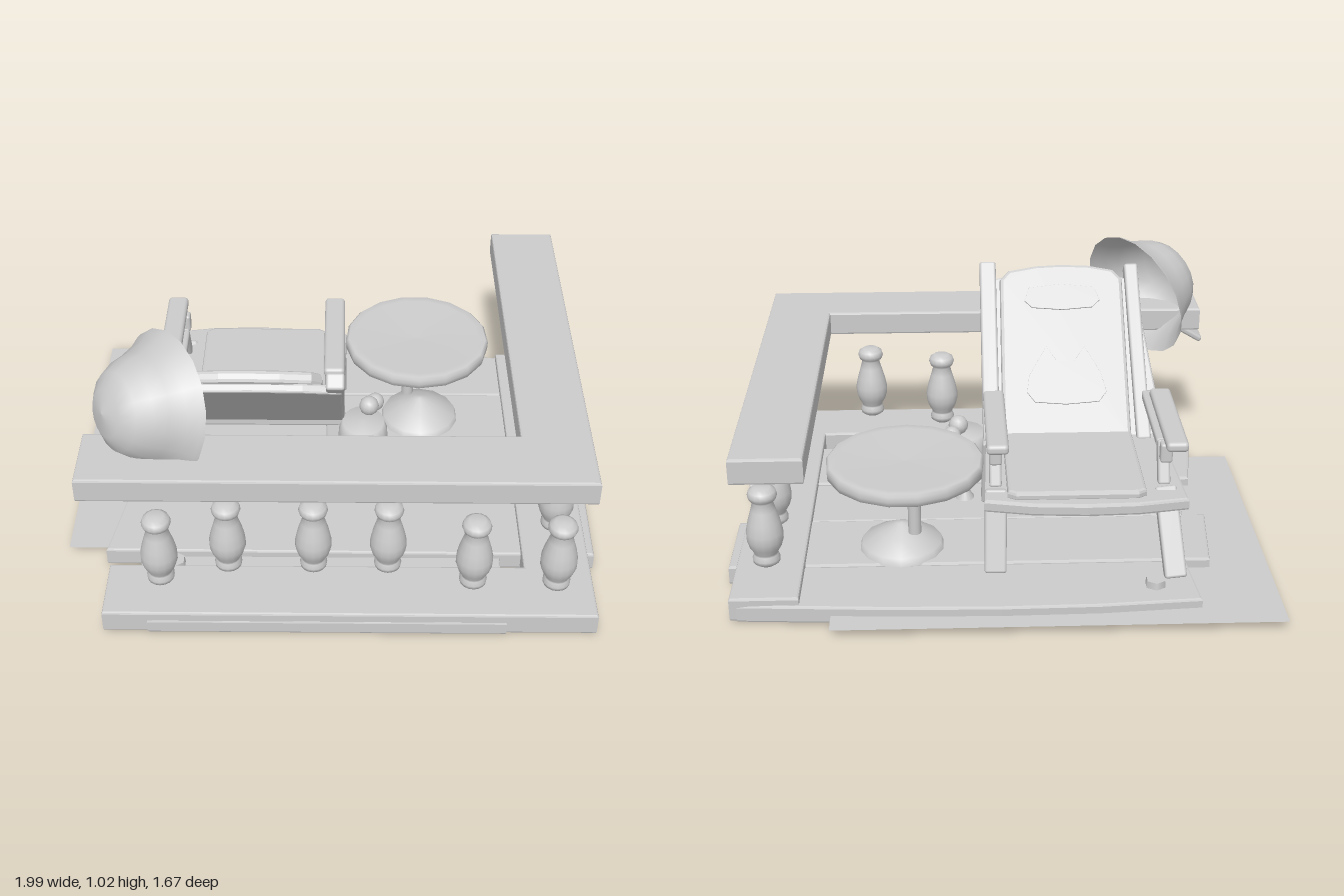
import * as THREE from 'three';
import { RoundedBoxGeometry } from 'three/addons/geometries/RoundedBoxGeometry.js';

export function createModel() {
  const model = new THREE.Group();
  const clay = new THREE.MeshStandardMaterial({ color: 0xcccccc, side: THREE.DoubleSide });
  clay.name = 'light grey';

  const add = (name, geo, parent = model) => {
    const m = new THREE.Mesh(geo, clay);
    m.name = name;
    parent.add(m);
    return m;
  };
  const V = (x, y, z) => new THREE.Vector3(x, y, z);
  const shapeOf = pts => new THREE.Shape(pts.map(p => new THREE.Vector2(p[0], p[1])));

  // Horizontal slab from an outline in x and z, with a small bevel
  const slab = (name, pts, y0, y1, b = 0.008, parent = model) => {
    const g = new THREE.ExtrudeGeometry(shapeOf(pts), {
      depth: y1 - y0 - 2 * b, bevelThickness: b, bevelSize: b, bevelOffset: -b, bevelSegments: 2,
    });
    g.rotateX(Math.PI / 2).translate(0, y1 - b, 0);
    return add(name, g, parent);
  };
  // Deck plank: a slab without its underside
  const plank = (pts, y0, y1) => {
    const g = slab('plank', pts, y0, y1).geometry;
    const p = g.attributes.position;
    const keep = [];
    for (let i = 0; i < p.count; i += 3) {
      if (p.getY(i) + p.getY(i + 1) + p.getY(i + 2) > 3 * y0 + 0.001) keep.push(i, i + 1, i + 2);
    }
    g.clearGroups();
    g.setIndex(keep);
  };
  // Rounded bar between two points
  const bar = (name, a, b, w, d, parent = model) => {
    const dir = b.clone().sub(a);
    const m = add(name, new RoundedBoxGeometry(w, dir.length(), d, 2, 0.01), parent);
    m.position.copy(a).add(b).multiplyScalar(0.5);
    m.quaternion.setFromUnitVectors(V(0, 1, 0), dir.normalize());
    return m;
  };
  const lathe = (name, pts, sides, parent = model) =>
    add(name, new THREE.LatheGeometry(pts.map(p => new THREE.Vector2(p[0], p[1])), sides), parent);
  const corner = (x0, x1, z0, z1, w) => [
    [x0, z1 - w], [x1 - w, z1 - w], [x1 - w, z0], [x1, z0], [x1, z1], [x0, z1],
  ];

  // Ground sheet and deck planks
  const sheet = add('groundSheet', new THREE.PlaneGeometry(1.6, 1.27).rotateX(-Math.PI / 2));
  sheet.position.set(-0.2, 0.037, -0.205);
  plank([[-0.71, -0.74], [-0.35, -0.765], [0, -0.77], [0.4, -0.76], [0.93, -0.73],
    [0.93, -0.475], [-0.69, -0.475]], 0.005, 0.072);
  plank([[-0.78, -0.47], [0.99, -0.47], [0.99, -0.14], [-0.815, -0.135]], 0, 0.075);
  plank([[-0.73, -0.13], [0.95, -0.135], [0.95, 0.165], [-0.75, 0.165]], 0.005, 0.07);
  plank([[-0.8, 0.17], [0.99, 0.17], [0.985, 0.49], [-0.85, 0.48]], 0, 0.075);
  plank([[-0.72, 0.495], [0.63, 0.495], [0.63, 0.828], [-0.66, 0.828]], 0.005, 0.065);
  for (const [x, z] of [[-0.555, -0.64], [-0.58, 0.55]]) {
    add('bolt', new THREE.CylinderGeometry(0.036, 0.04, 0.03, 6)).position.set(x, 0.083, z);
  }

  // Corner balustrade
  slab('railingBase', corner(-0.82, 0.955, -0.73, 0.825, 0.245), 0.01, 0.1);
  slab('handRail', corner(-0.87, 0.908, -0.8, 0.768, 0.25), 0.585, 0.68);
  const turned = [[0, 0.137], [0.03, 0.14], [0.048, 0.153], [0.05, 0.167], [0.044, 0.184], [0.042, 0.19],
    [0.057, 0.215], [0.066, 0.245], [0.066, 0.275], [0.058, 0.315], [0.045, 0.36], [0.036, 0.393],
    [0.048, 0.405], [0.053, 0.42], [0.048, 0.437], [0.03, 0.449], [0, 0.45]];
  const posts = [[-0.615, 0.69], [-0.375, 0.62], [-0.065, 0.62], [0.205, 0.62], [0.51, 0.7],
    [0.81, 0.705], [0.835, 0.4], [0.835, 0.06], [0.835, -0.255], [0.835, -0.555]];
  for (const [x, z] of posts) lathe('baluster', turned, 16).position.set(x, 0, z);

  // Side table with a slightly dished top
  const table = new THREE.Group();
  table.name = 'sideTable';
  table.position.set(0.338, 0, -0.37);
  model.add(table);
  lathe('tableTop', [[0, 0.405], [0.272, 0.405], [0.286, 0.413], [0.288, 0.43], [0.288, 0.45],
    [0.278, 0.46], [0.25, 0.459], [0, 0.448]], 17, table);
  add('tableStem', new THREE.CylinderGeometry(0.024, 0.024, 0.25, 12), table).position.set(-0.03, 0.285, -0.015);
  lathe('tableFoot', [[0.16, 0.07], [0.15, 0.1], [0.08, 0.14], [0.02, 0.172], [0, 0.175]], 14, table)
    .position.set(0.02, 0, 0.04);

  // Footed cup with a small bloom on top
  const cup = lathe('cup', [[0, 0.015], [0.05, 0.02], [0.045, 0.06], [0.018, 0.1], [0.015, 0.125],
    [0.05, 0.137], [0.078, 0.17], [0.094, 0.22], [0.098, 0.27], [0.094, 0.32], [0.08, 0.36],
    [0, 0.362]], 18);
  cup.position.set(0.118, 0, 0.053);
  cup.scale.z = 1.13;
  for (const [x, y, z, r] of [[0.14, 0.405, 0.015, 0.038], [0.165, 0.385, -0.035, 0.035]]) {
    add('bloom', new THREE.SphereGeometry(r, 12, 8)).position.set(x, y, z);
  }

  // Deck chair: seat, legs and arms
  const chair = new THREE.Group();
  chair.name = 'deckChair';
  model.add(chair);
  slab('seatFrame', [[-0.68, -0.53], [-0.5, -0.56], [-0.31, -0.567], [-0.12, -0.555], [0.055, -0.52],
    [0.035, 0.03], [-0.65, 0.03]], 0.312, 0.36, 0.01, chair);
  slab('seatPad', [[-0.53, -0.5], [-0.5, -0.52], [-0.06, -0.52], [-0.03, -0.5], [-0.03, 0.03],
    [-0.53, 0.03]], 0.35, 0.388, 0.012, chair);
  for (const [side, x, foot, zf] of [['right', -0.605, -0.635, -0.59], ['left', 0.01, 0.015, -0.53]]) {
    bar(side + 'FrontLeg', V(foot, 0.07, zf), V(x, 0.36, -0.43), 0.08, 0.055, chair);
    bar(side + 'RearLeg', V(foot + (x < 0 ? -0.02 : 0), 0.07, 0.03), V(x, 0.36, -0.03), 0.075, 0.06, chair);
    bar(side + 'ArmPost', V(x, 0.35, -0.4), V(x, 0.5, -0.33), 0.045, 0.045, chair);
    bar(side + 'ArmSupport', V(x, 0.488, -0.34), V(x, 0.488, 0.1), 0.05, 0.035, chair);
    bar(side + 'ArmBlock', V(x, 0.455, -0.415), V(x, 0.53, -0.415), 0.045, 0.045, chair);
    const arm = add(side + 'Armrest', new RoundedBoxGeometry(0.08, 0.038, 0.49, 3, 0.015), chair);
    arm.position.set(x < 0 ? -0.635 : 0.005, 0.543, -0.25);
  }

  // Reclined back, drawn upright and then tilted
  const back = new THREE.Group();
  back.name = 'chairBack';
  back.position.set(0, 0.34, -0.02);
  back.rotation.x = 0.745;
  chair.add(back);
  const panel = (name, pts, z0, z1, b) => {
    const g = new THREE.ExtrudeGeometry(shapeOf(pts), {
      depth: z1 - z0 - 2 * b, bevelThickness: b, bevelSize: b, bevelOffset: -b, bevelSegments: 2,
    });
    return add(name, g.translate(0, 0, z0 + b), back);
  };
  bar('rightBackPost', V(-0.58, 0, 0), V(-0.565, 0.74, 0), 0.055, 0.06, back);
  bar('leftBackPost', V(0.012, 0, 0), V(0.012, 0.755, 0), 0.065, 0.06, back);
  panel('backBoard', [[-0.67, -0.02], [0.04, -0.02], [0.035, 0.68], [-0.1, 0.71], [-0.28, 0.72],
    [-0.45, 0.71], [-0.58, 0.68]], 0, 0.035, 0.008);
  panel('backPad', [[-0.53, 0], [-0.03, 0], [-0.035, 0.67], [-0.07, 0.71], [-0.18, 0.73], [-0.28, 0.735],
    [-0.39, 0.73], [-0.49, 0.71], [-0.525, 0.67]], -0.042, 0.005, 0.014);
  // Raised patches on the pad
  panel('headPatch', [[-0.43, 0.575], [-0.4, 0.545], [-0.28, 0.535], [-0.16, 0.545], [-0.13, 0.575],
    [-0.15, 0.63], [-0.28, 0.645], [-0.41, 0.63]], -0.048, -0.04, 0.001);
  panel('backPatch', [[-0.44, 0.19], [-0.41, 0.15], [-0.28, 0.14], [-0.16, 0.15], [-0.13, 0.19], [-0.14, 0.26],
    [-0.21, 0.38], [-0.25, 0.32], [-0.32, 0.32], [-0.36, 0.38], [-0.42, 0.27]], -0.048, -0.04, 0.001);

  // Sun hat hung on the corner of the back
  const hat = lathe('sunHat', [[0.262, 0], [0.252, 0.015], [0.222, 0.05], [0.195, 0.1], [0.175, 0.15],
    [0.14, 0.2], [0.085, 0.235], [0, 0.25]], 18);
  hat.position.set(-0.585, 0.768, 0.455);
  hat.quaternion.setFromUnitVectors(V(0, 1, 0), V(-0.77, 0.26, 0.58).normalize());
  bar('hatRibbon', V(-0.885, 0.53, 0.59), V(-0.76, 0.61, 0.57), 0.025, 0.08);

  return model;
}
